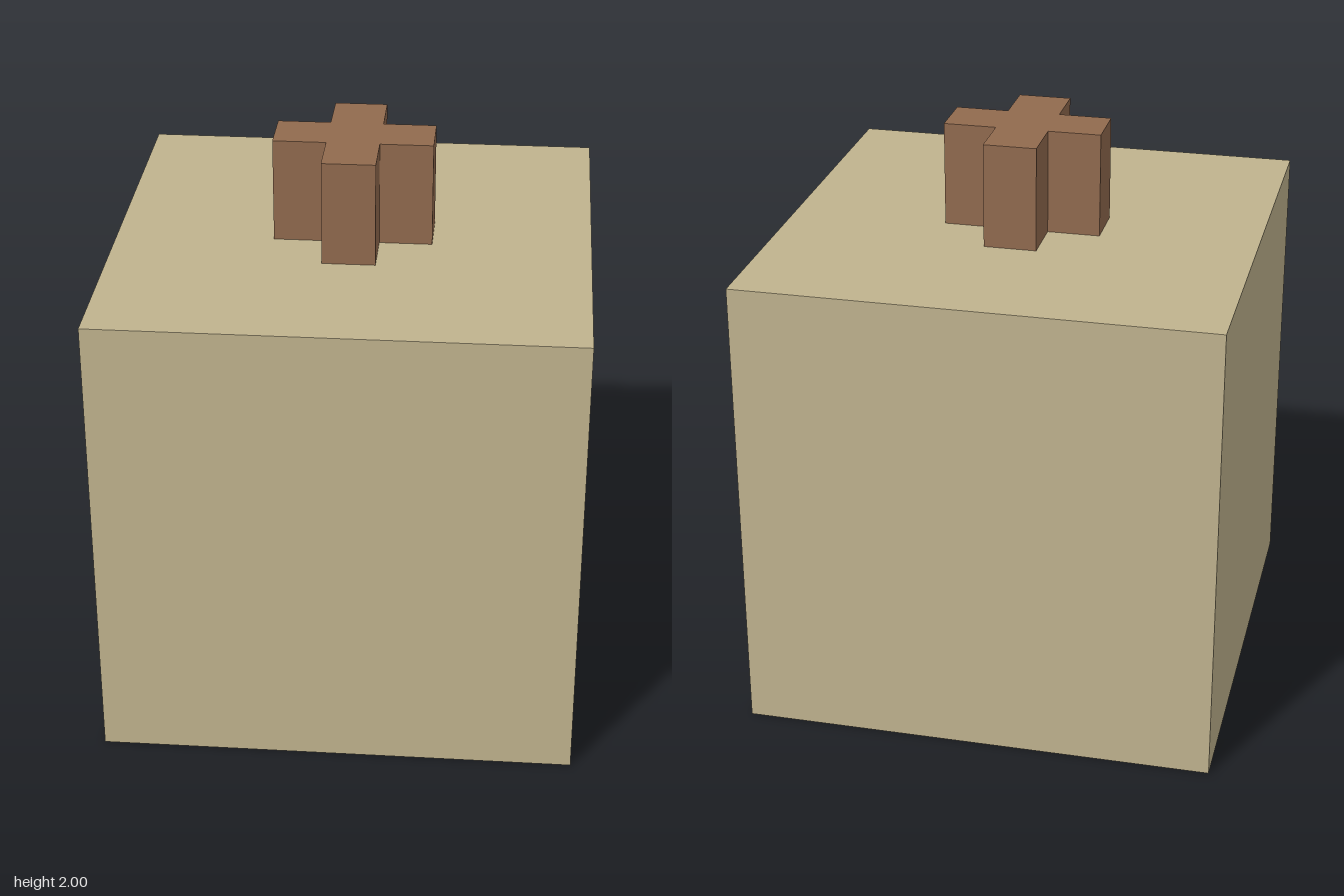
import * as THREE from 'three';

const U = 1 / 11; // base unit: body is 18 units wide, stud 4 units tall

export function createModel() {
  const group = new THREE.Group();
  const tan = new THREE.MeshStandardMaterial({ color: 0xc0b38e });
  tan.name = 'tan';
  const brown = new THREE.MeshStandardMaterial({ color: 0x916a4e });
  brown.name = 'brown';

  // Cube body
  const body = new THREE.Mesh(new THREE.BoxGeometry(18 * U, 18 * U, 18 * U), tan);
  body.name = 'body';
  body.position.y = 9 * U;
  group.add(body);

  // Cross-shaped stud: one arm outline turned through four quarters
  const w = U, r = 3 * U;
  const outline = [];
  for (let i = 0; i < 4; i++) {
    for (const [x, y] of [[r, -w], [r, w], [w, w]]) {
      outline.push(new THREE.Vector2(x, y).rotateAround(new THREE.Vector2(), i * Math.PI / 2));
    }
  }
  const crossGeometry = new THREE.ExtrudeGeometry(new THREE.Shape(outline), {
    depth: 4 * U,
    bevelEnabled: false,
  });
  crossGeometry.rotateX(-Math.PI / 2);
  const stud = new THREE.Mesh(crossGeometry, brown);
  stud.name = 'crossStud';
  stud.position.y = 18 * U;
  group.add(stud);

  return group;
}
